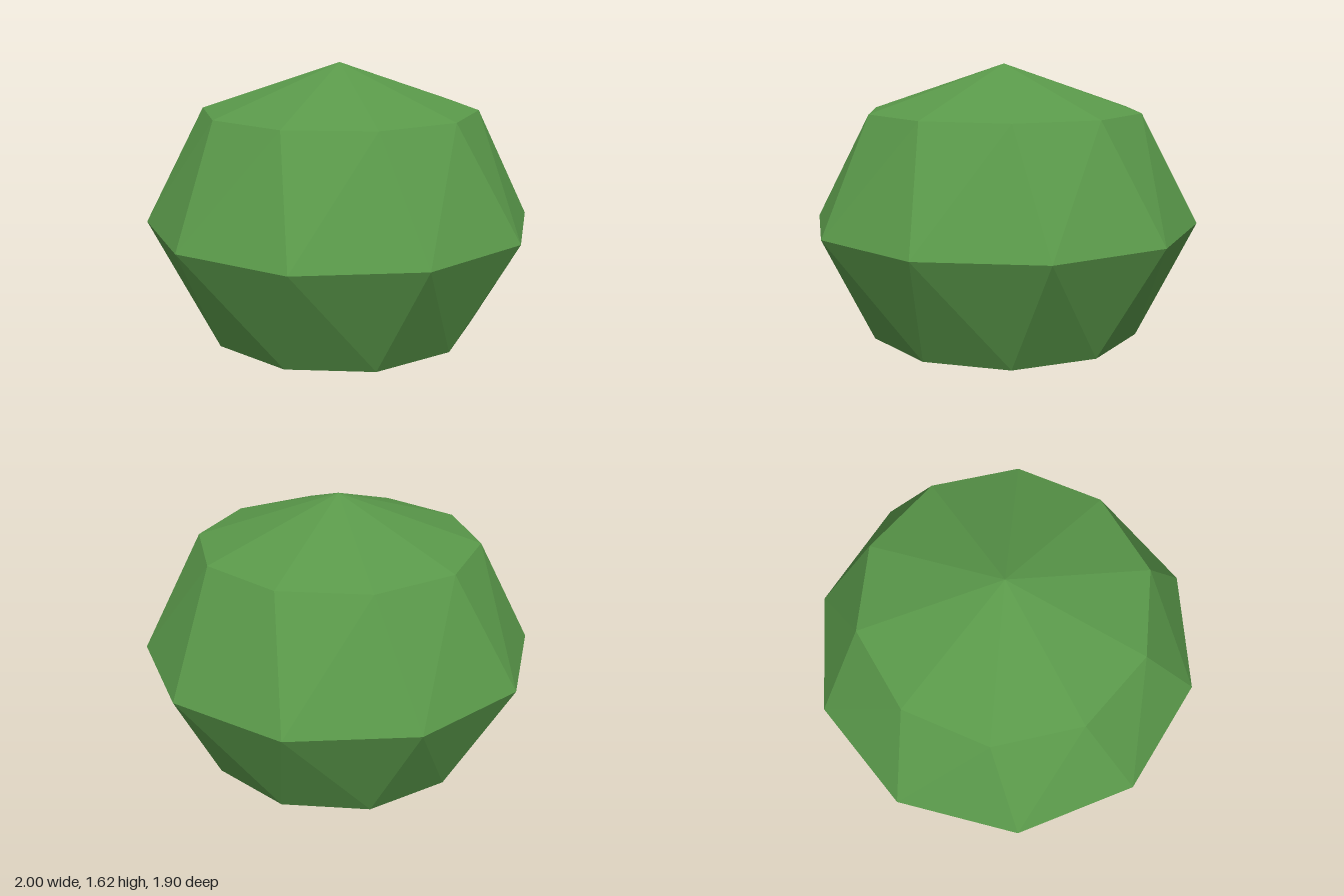
import * as THREE from 'three';

const SIDES = 10;
const HALF_HEIGHT = 0.81;
const STEP = (Math.PI * 2) / SIDES;
const TWIST = STEP / 4; // the shoulder rings are turned a quarter step from the equator

// Point on the squashed ball at a given ring radius, step and height
function point(radius, k, turn, y) {
  const a = k * STEP + turn;
  return [radius * Math.cos(a), y, radius * Math.sin(a)];
}

// One half of the ball: slanted band plus shallow cap; sign is +1 for top, -1 for bottom
function halfGeometry(sign) {
  const positions = [];
  const shoulderY = HALF_HEIGHT * (1 + sign * Math.SQRT1_2);
  const pole = [0, HALF_HEIGHT * (1 + sign), 0];
  const rim = (k) => point(1, k, 0, HALF_HEIGHT);
  const shoulder = (k) => point(Math.SQRT1_2, k, TWIST, shoulderY);
  const face = (a, b, c) => positions.push(...a, ...(sign > 0 ? b : c), ...(sign > 0 ? c : b));

  for (let k = 0; k < SIDES; k++) {
    face(rim(k), shoulder(k), rim(k + 1));
    face(shoulder(k), shoulder(k + 1), rim(k + 1));
    face(shoulder(k), pole, shoulder(k + 1));
  }

  const geometry = new THREE.BufferGeometry();
  geometry.setAttribute('position', new THREE.Float32BufferAttribute(positions, 3));
  geometry.computeVertexNormals(); // unshared corners give flat facets
  return geometry;
}

export function createModel() {
  const leafGreen = new THREE.MeshStandardMaterial({ color: 0x5a994a });
  leafGreen.name = 'leafGreen';

  const bush = new THREE.Group();
  bush.name = 'bush';
  for (const [name, sign] of [['upperFoliage', 1], ['lowerFoliage', -1]]) {
    const half = new THREE.Mesh(halfGeometry(sign), leafGreen);
    half.name = name;
    bush.add(half);
  }
  return bush;
}
